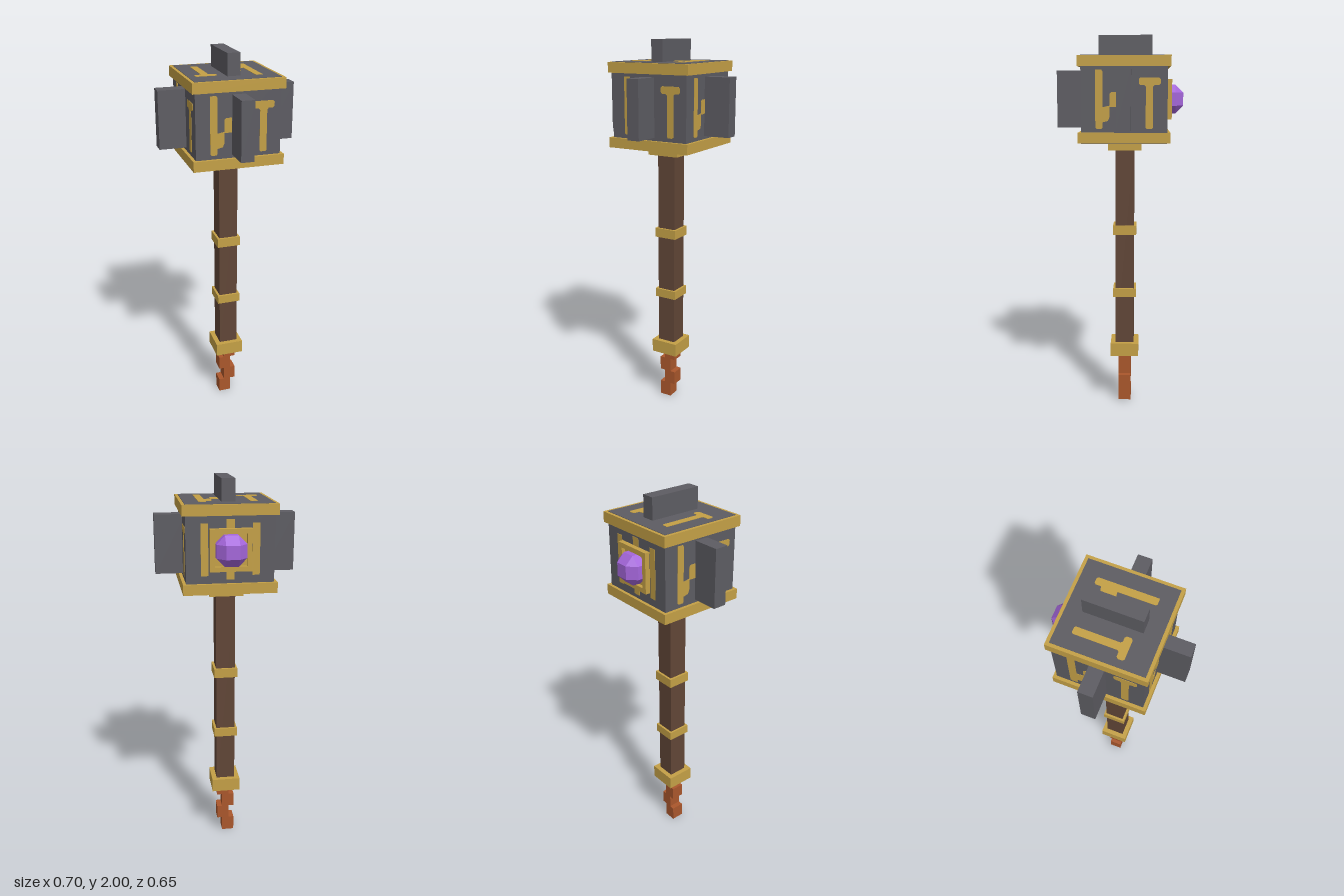
import * as THREE from 'three';
import { ConvexGeometry } from 'three/addons/geometries/ConvexGeometry.js';

const CZ = -0.026; // the shaft and head axis sits slightly behind the origin

function makeMaterial(name, color) {
  const m = new THREE.MeshStandardMaterial({ color });
  m.name = name;
  return m;
}

export function createModel() {
  const model = new THREE.Group();
  model.name = 'mace';
  const stone = makeMaterial('darkStone', 0x5d5c62);
  const gold = makeMaterial('gold', 0xc4a046);
  const wood = makeMaterial('brownWood', 0x614637);
  const copper = makeMaterial('copper', 0xaa572c);
  const purple = makeMaterial('purpleGem', 0xa466da);

  // Box given by its limits on each axis
  function box(name, mat, x0, x1, y0, y1, z0, z1, parent = model) {
    const mesh = new THREE.Mesh(new THREE.BoxGeometry(x1 - x0, y1 - y0, z1 - z0), mat);
    mesh.position.set((x0 + x1) / 2, (y0 + y1) / 2, (z0 + z1) / 2);
    mesh.name = name;
    parent.add(mesh);
    return mesh;
  }
  // Square block centred on the shaft axis
  const block = (name, mat, half, y0, y1) =>
    box(name, mat, -half, half, y0, y1, CZ - half, CZ + half);

  // Handle with its rings, collar and pommel
  block('handle', wood, 0.05, 0.3, 1.45);
  block('pommel', gold, 0.076, 0.283, 0.355);
  block('lowerRing', gold, 0.062, 0.617, 0.664);
  block('upperRing', gold, 0.062, 0.963, 1.013);
  block('collar', gold, 0.087, 1.415, 1.462);

  // Zigzag tail under the pommel
  [0, 0.082, 0.158, 0.235, 0.29].forEach((y, i, ys) => {
    if (i === 4) return;
    const x = i % 2 ? 0.012 : -0.016;
    box('tailLink', copper, x - 0.033, x + 0.033, y, ys[i + 1], CZ - 0.034, CZ + 0.034);
  });

  // Head and its two bands
  block('head', stone, 0.215, 1.46, 1.892);
  block('upperBand', gold, 0.231, 1.838, 1.89);
  block('lowerBand', gold, 0.231, 1.462, 1.514);
  block('headUnderside', stone, 0.215, 1.459, 1.465);

  // Fins
  box('frontFin', stone, -0.033, 0.033, 1.53, 1.823, 0.15, 0.327);
  box('topFin', stone, -0.033, 0.033, 1.85, 2.0, -0.166, 0.11);
  for (const s of [-1, 1]) {
    const a = s * 0.2, b = s * 0.352;
    box('sideFin', stone, Math.min(a, b), Math.max(a, b), 1.53, 1.823, CZ - 0.035, CZ + 0.035);
  }

  // Inlaid marks, drawn around the centre of a face
  const outline = (pts) => new THREE.Shape(pts.map(([x, y]) => new THREE.Vector2(x, y)));
  const hook = outline([
    [-0.143, -0.137], [-0.136, -0.144], [-0.112, -0.144], [-0.107, -0.137], [-0.107, -0.112],
    [-0.08, -0.105], [-0.072, -0.085], [-0.072, -0.036], [-0.034, -0.036], [-0.034, 0.036],
    [-0.062, 0.036], [-0.072, 0.028], [-0.072, -0.03], [-0.1, -0.036], [-0.107, -0.036],
    [-0.107, 0.136], [-0.112, 0.144], [-0.143, 0.144]]);
  const tee = outline([
    [0.107, -0.138], [0.113, -0.144], [0.137, -0.144], [0.143, -0.138], [0.143, 0.062], [0.15, 0.07],
    [0.172, 0.07], [0.18, 0.078], [0.18, 0.098], [0.172, 0.106], [0.08, 0.106], [0.072, 0.098],
    [0.072, 0.078], [0.08, 0.07], [0.1, 0.07], [0.107, 0.062]]);
  const stem = (x, w, h) => outline([[x - w, -h], [x + w, -h], [x + w, h], [x - w, h]]);

  function marks(name, shapes, pos, rot) {
    const geo = new THREE.ExtrudeGeometry(shapes, { depth: 0.004, bevelEnabled: false });
    const mesh = new THREE.Mesh(geo, gold);
    mesh.name = name;
    mesh.position.set(...pos);
    mesh.rotation.set(...rot);
    model.add(mesh);
  }
  const Q = Math.PI / 2, R = 0.213, Y = 1.677;
  marks('frontMarks', [hook, tee], [0, Y, CZ + R], [0, 0, 0]);
  marks('leftMarks', [hook, tee], [R, Y, CZ], [0, Q, 0]);
  marks('rightMarks', [hook, tee], [-R, Y, CZ], [0, -Q, 0]);
  marks('topMarks', [hook, tee], [0, 1.89, CZ], [-Q, 0, 2 * Q]);
  marks('undersideMarks', [hook, tee], [0, 1.461, CZ], [Q, 0, 0]);
  marks('backMarks', [stem(-0.125, 0.018, 0.125), stem(0.125, 0.018, 0.125), stem(0, 0.02, 0.144)],
    [0, Y, CZ - R], [0, 2 * Q, 0]);

  // Square setting on the back
  const setting = stem(0, 0.102, 0.102);
  setting.holes.push(stem(0, 0.078, 0.078));
  const frame = new THREE.Mesh(
    new THREE.ExtrudeGeometry(setting, { depth: 0.037, bevelEnabled: false }), gold);
  frame.name = 'gemSetting';
  frame.position.set(0, Y, -0.267);
  model.add(frame);
  box('settingPlate', gold, -0.08, 0.08, Y - 0.08, Y + 0.08, -0.247, -0.235);

  // Faceted gem: a cube with all edges and corners cut
  const a = 0.033, b = 0.074, pts = [];
  for (const x of [-1, 1]) for (const y of [-1, 1]) for (const z of [-1, 1]) {
    pts.push(new THREE.Vector3(x * b, y * a, z * a),
      new THREE.Vector3(x * a, y * b, z * a), new THREE.Vector3(x * a, y * a, z * b));
  }
  const gem = new THREE.Mesh(new ConvexGeometry(pts), purple);
  gem.name = 'gem';
  gem.position.set(0, Y, -0.254);
  model.add(gem);

  return model;
}
